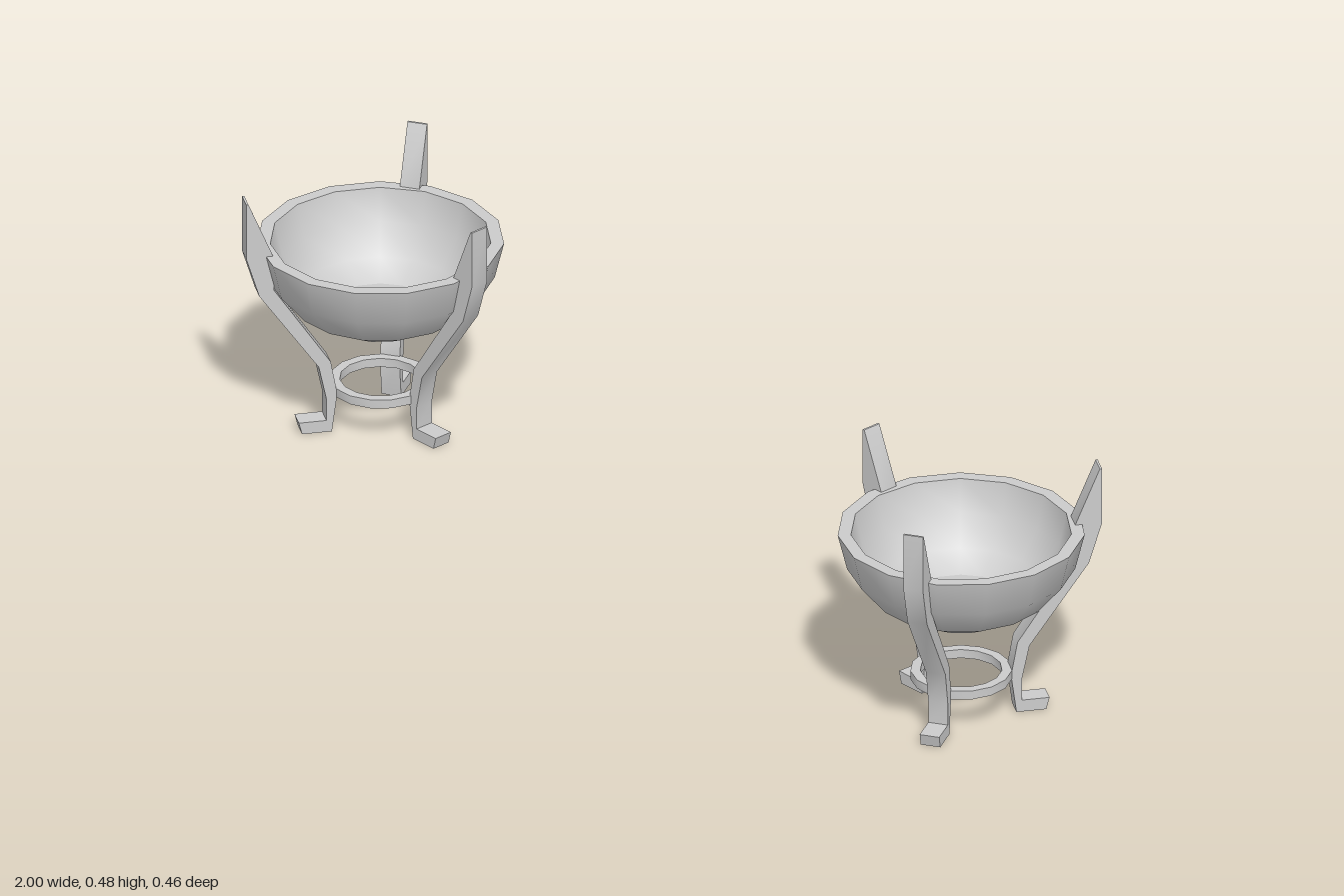
import * as THREE from 'three';
import { toCreasedNormals } from 'three/addons/utils/BufferGeometryUtils.js';

const SIDES = 15;
const LEG_WIDTH = 0.037;
const material = new THREE.MeshStandardMaterial({ color: 0xcccccc });

const points = (list) => list.map(([x, y]) => new THREE.Vector2(x, y));

function part(name, geometry) {
  const mesh = new THREE.Mesh(geometry, material);
  mesh.name = name;
  return mesh;
}

function lathe(profile, sides, crease) {
  const geometry = new THREE.LatheGeometry(points(profile), sides, Math.PI);
  return toCreasedNormals(geometry, crease);
}

// Thick faceted bowl: outer wall from the bottom up, over the rim, down inside
function bowlGeometry() {
  const profile = [];
  for (let i = 0; i <= 4; i++) {
    const a = (i * Math.PI) / 8;
    profile.push([0.224 * Math.sin(a), 0.367 - 0.181 * Math.cos(a)]);
  }
  profile.push([0.2, 0.367], [0.186, 0.305], [0.147, 0.253], [0.097, 0.225]);
  return lathe(profile, SIDES, 0.75);
}

// Curved leg with a pointed tip and an outward foot, drawn as (radius, height)
function legGeometry() {
  const outline = points([
    [0.096, 0], [0.151, 0], [0.157, 0.023], [0.106, 0.023],
    [0.106, 0.066], [0.12, 0.132], [0.23, 0.288], [0.254, 0.366],
    [0.254, 0.476], [0.25, 0.476], [0.204, 0.366], [0.203, 0.298],
    [0.098, 0.141], [0.086, 0.075],
  ]);
  const geometry = new THREE.ExtrudeGeometry(new THREE.Shape(outline), {
    depth: LEG_WIDTH, bevelEnabled: false,
  });
  geometry.translate(0, 0, -LEG_WIDTH / 2);
  return toCreasedNormals(geometry, 0.75);
}

export function createModel() {
  const model = new THREE.Group();
  model.name = 'pairOfBraziers';

  const bowl = bowlGeometry();
  const floor = new THREE.CircleGeometry(0.097, SIDES, Math.PI / 2);
  floor.rotateX(-Math.PI / 2).translate(0, 0.225, 0);
  const leg = legGeometry();
  const ring = lathe(
    [[0.074, 0.068], [0.092, 0.068], [0.092, 0.085], [0.074, 0.085], [0.074, 0.068]],
    SIDES, 0.75,
  );

  for (const side of [-1, 1]) {
    const brazier = new THREE.Group();
    brazier.name = side < 0 ? 'rightBrazier' : 'leftBrazier';
    brazier.position.set(side * 0.777, 0, -0.003);
    brazier.add(part('bowl', bowl), part('bowlFloor', floor), part('braceRing', ring));

    // Three legs, one facing the other brazier, each set slightly off the radius
    for (let i = 0; i < 3; i++) {
      const holder = new THREE.Group();
      holder.name = 'legHolder';
      holder.rotation.y = (side > 0 ? Math.PI : 0) + (i * Math.PI * 2) / 3;
      const mesh = part('leg', leg);
      mesh.position.z = side * 0.01;
      holder.add(mesh);
      brazier.add(holder);
    }
    model.add(brazier);
  }
  return model;
}
